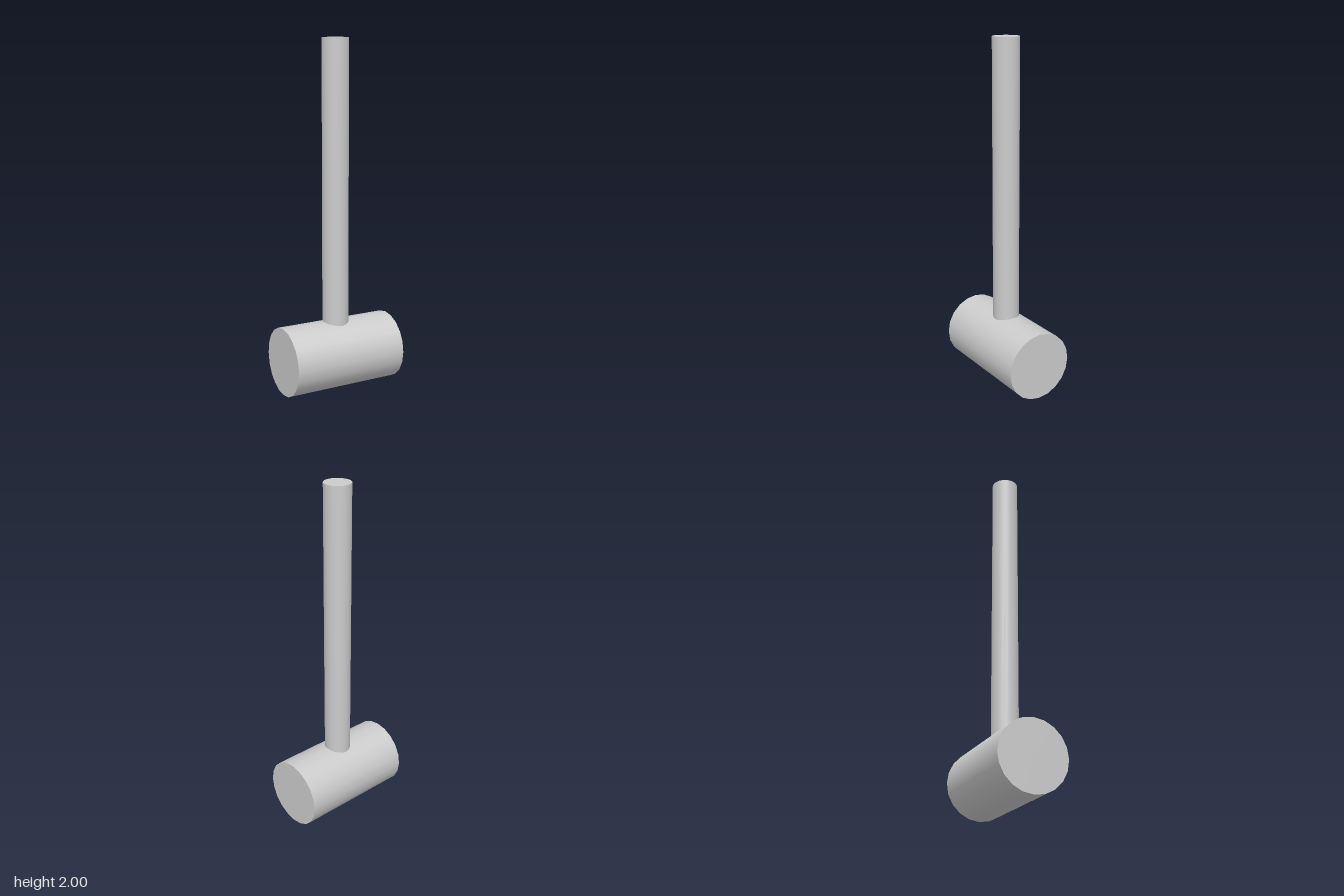
import * as THREE from 'three';

export function createModel() {
  const group = new THREE.Group();
  const material = new THREE.MeshStandardMaterial({ color: 0xcccccc });
  const sides = 20;

  // Mallet head: a cylinder lying along x
  const headRadius = 0.197;
  const head = new THREE.Mesh(
    new THREE.CylinderGeometry(headRadius, headRadius, 0.684, sides), material);
  head.name = 'head';
  head.rotation.z = Math.PI / 2;
  head.position.y = headRadius;
  group.add(head);

  // Handle: rises from the middle of the head, very slightly off centre
  const bottom = 0.2, top = 2;
  const handle = new THREE.Mesh(
    new THREE.CylinderGeometry(0.076, 0.076, top - bottom, sides), material);
  handle.name = 'handle';
  handle.position.set(-0.003, (bottom + top) / 2, -0.002);
  group.add(handle);

  return group;
}
